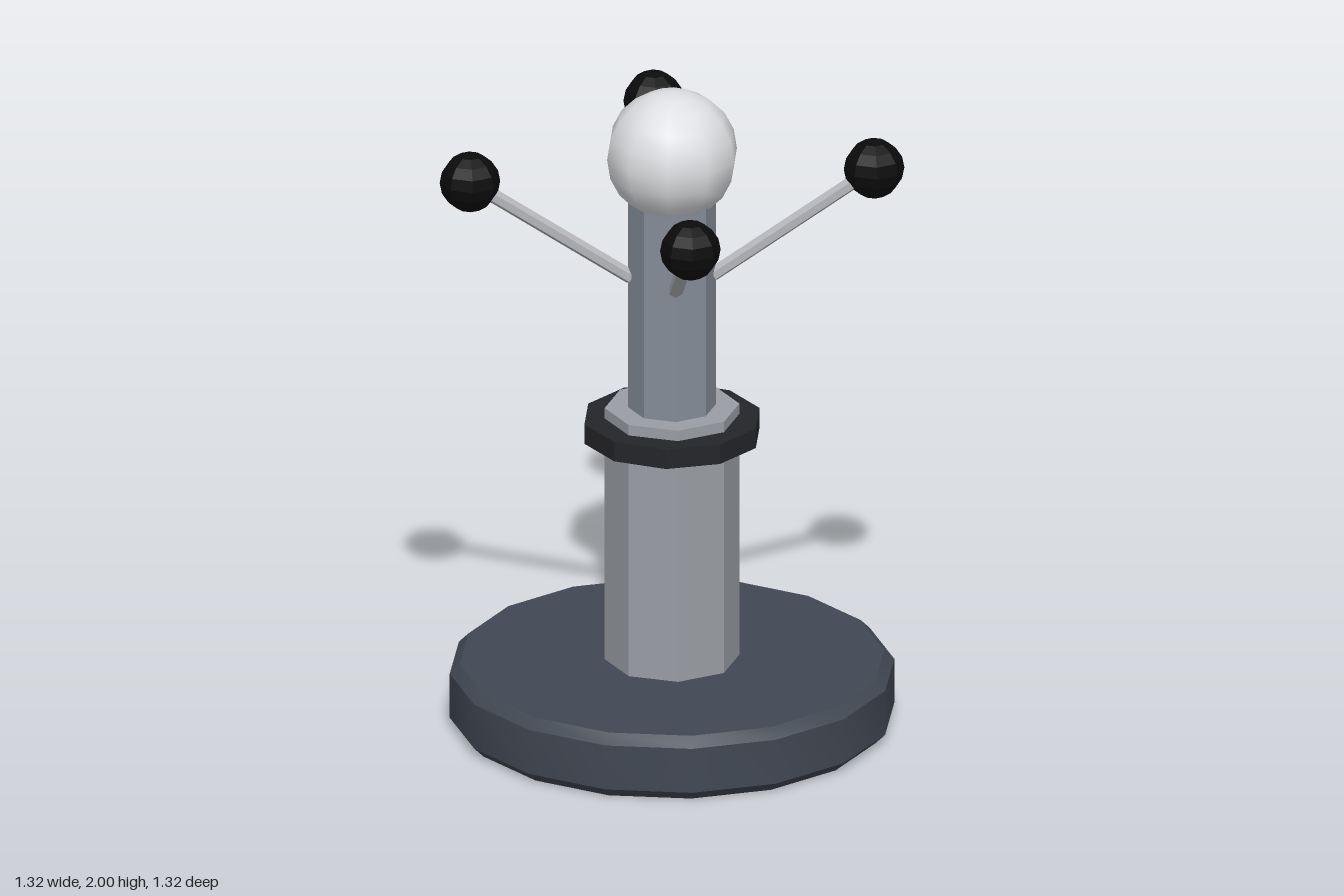
import * as THREE from 'three';
import { toCreasedNormals } from 'three/addons/utils/BufferGeometryUtils.js';

function paint(color, flatShading = false) {
  return new THREE.MeshStandardMaterial({ color, flatShading });
}

function addMesh(parent, name, geometry, material, y = 0) {
  const mesh = new THREE.Mesh(geometry, material);
  mesh.name = name;
  mesh.position.y = y;
  parent.add(mesh);
  return mesh;
}

// Upright prism standing between two heights
function addPrism(parent, name, radius, bottom, top, sides, color) {
  const geometry = new THREE.CylinderGeometry(radius, radius, top - bottom, sides);
  return addMesh(parent, name, geometry, paint(color, true), (bottom + top) / 2);
}

export function createModel() {
  const model = new THREE.Group();
  model.name = 'post';

  // Round base with bevelled rims
  const profile = [[0, 0], [0.63, 0], [0.66, 0.03], [0.66, 0.17], [0.63, 0.2], [0, 0.2]]
    .map(([r, y]) => new THREE.Vector2(r, y));
  const baseGeometry = toCreasedNormals(new THREE.LatheGeometry(profile, 16), 0.6);
  addMesh(model, 'base', baseGeometry, paint(0x414853));

  // Stepped octagonal column with a dark collar
  addPrism(model, 'lowerColumn', 0.2, 0.2, 1.0, 8, 0x9a9ea5);
  addPrism(model, 'upperColumn', 0.13, 1.0, 1.67, 8, 0x858d98);
  addPrism(model, 'collar', 0.267, 0.905, 0.967, 10, 0x242529);

  // Ball on top
  const ball = addMesh(model, 'ball', new THREE.SphereGeometry(0.198, 10, 10), paint(0xdedfe2), 1.802);
  ball.rotation.y = Math.PI / 2;

  // Four diagonal arms, each ending in a black knob
  const start = new THREE.Vector3(0, 1.415, 0.122);
  const end = new THREE.Vector3(0, 1.735, 0.6);
  const direction = end.clone().sub(start);
  const rodGeometry = new THREE.CylinderGeometry(0.022, 0.022, direction.length(), 6);
  const knobGeometry = new THREE.SphereGeometry(0.09, 8, 8);
  const rodMaterial = paint(0xb4b5ba, true);
  const knobMaterial = paint(0x0b0b0c, true);
  for (let i = 0; i < 4; i++) {
    const arm = new THREE.Group();
    arm.name = 'arm';
    arm.rotation.y = Math.PI / 4 + i * Math.PI / 2;
    model.add(arm);

    const rod = addMesh(arm, 'armRod', rodGeometry, rodMaterial);
    rod.position.copy(start).add(end).multiplyScalar(0.5);
    rod.quaternion.setFromUnitVectors(new THREE.Vector3(0, 1, 0), direction.clone().normalize());

    const knob = addMesh(arm, 'armKnob', knobGeometry, knobMaterial);
    knob.position.copy(end);
    knob.rotation.y = -arm.rotation.y;
  }
  return model;
}
